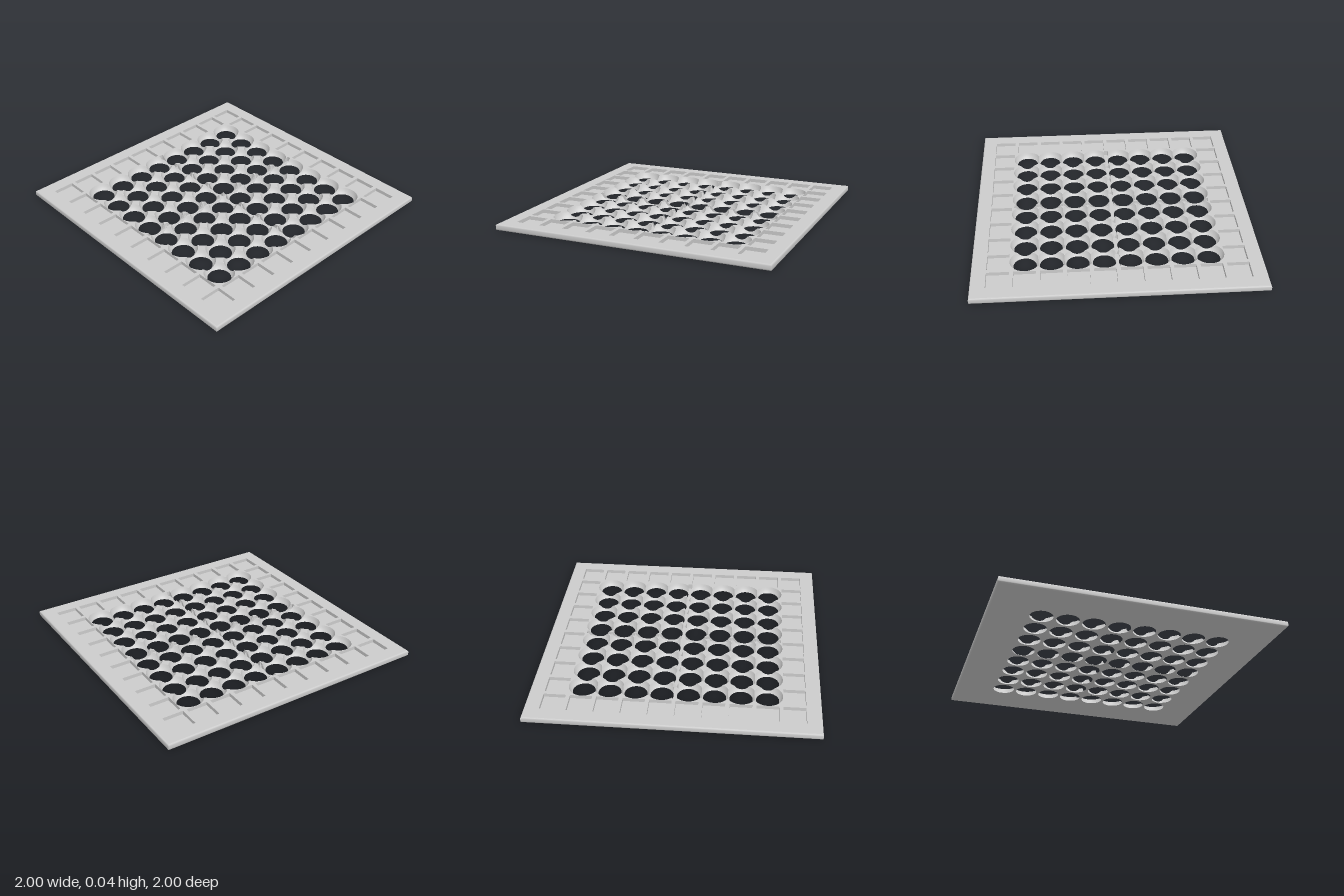
import * as THREE from 'three';
import { toCreasedNormals } from 'three/addons/utils/BufferGeometryUtils.js';

const TOP = 0.043;                 // plate thickness
const ROUND = 0.01;                // radius of the outer edge
const PITCH = 0.182;               // cell spacing
const HOLE = 0.08, RIM = 0.104;    // well radius at the bottom and at the top
const FIELD = 0.742;               // half size of the well field
const POCKET = 0.154, POCKET_FLOOR = 0.017;
const GROOVE = 0.016, GROOVE_END = 0.727, GROOVE_FLOOR = 0.003;

// Sphere that cuts each well
const CY = (RIM * RIM + TOP * TOP - HOLE * HOLE) / (2 * TOP);
const R2 = HOLE * HOLE + CY * CY;
const wellY = r => (r >= RIM ? TOP : CY - Math.sqrt(R2 - r * r));
const FLOOR_R = Math.sqrt(R2 - (CY - GROOVE_FLOOR) ** 2);

const cell = i => (i + 0.5) * PITCH;

// Distance from a well centre to the edge of a rectangle [x0, x1, z0, z1]
function reach(a, [x0, x1, z0, z1]) {
  const c = Math.cos(a), s = Math.sin(a);
  const dx = Math.abs(c) < 1e-9 ? Infinity : (c > 0 ? x1 : x0) / c;
  const dz = Math.abs(s) < 1e-9 ? Infinity : (s > 0 ? z1 : z0) / s;
  return Math.min(dx, dz);
}

// Radial profile of one well: bowl, flat land, groove wall, groove floor
function profile(a, full, clipped) {
  const far = reach(a, full);
  const near = reach(a, clipped);
  const grooved = near < far - 1e-6;
  const edge = grooved ? Math.max(near, FLOOR_R) : far;
  const bowlEnd = Math.min(edge, RIM);
  const pts = [];
  for (let k = 0; k <= 4; k++) {
    const r = HOLE + (bowlEnd - HOLE) * k / 4;
    pts.push([r, wellY(r)]);
  }
  pts.push([edge, wellY(edge)]);
  pts.push([edge, grooved ? GROOVE_FLOOR : wellY(edge)]);
  pts.push([far, grooved ? GROOVE_FLOOR : wellY(far)]);
  return pts;
}

// One quarter of the well field
function wellQuarter() {
  const pos = [];
  const tri = (a, b, c) => {
    if (a.distanceTo(b) < 1e-6 || b.distanceTo(c) < 1e-6 || c.distanceTo(a) < 1e-6) return;
    for (const p of [a, b, c]) pos.push(p.x, p.y, p.z);
  };
  for (let i = 0; i < 4; i++) for (let j = 0; j < 4; j++) {
    const cx = cell(i), cz = cell(j), h = PITCH / 2;
    const full = [-h, i === 3 ? FIELD - cx : h, -h, j === 3 ? FIELD - cz : h];
    const clipped = [i ? -h : GROOVE - cx, full[1], j ? -h : GROOVE - cz, full[3]];
    const angles = [];
    for (let k = 0; k < 64; k++) angles.push(k * Math.PI / 32);
    for (const b of [full, clipped])
      for (const x of [b[0], b[1]]) for (const z of [b[2], b[3]])
        angles.push((Math.atan2(z, x) + 2 * Math.PI) % (2 * Math.PI));
    angles.sort((a, b) => a - b);
    angles.push(2 * Math.PI);
    const list = angles.filter((a, k) => k === 0 || a - angles[k - 1] > 1e-5);
    const rings = list.map(a => profile(a, full, clipped).map(([r, y]) =>
      new THREE.Vector3(cx + r * Math.cos(a), y, cz + r * Math.sin(a))));
    for (let k = 0; k + 1 < rings.length; k++) {
      const A = rings[k], B = rings[k + 1];
      for (let m = 0; m + 1 < A.length; m++) {
        tri(A[m], B[m], B[m + 1]);
        tri(A[m], B[m + 1], A[m + 1]);
      }
    }
  }
  const geo = new THREE.BufferGeometry();
  geo.setAttribute('position', new THREE.Float32BufferAttribute(pos, 3));
  return toCreasedNormals(geo, 0.5);
}

// Open-topped pocket seen from inside
function pocketGeometry() {
  const depth = TOP - POCKET_FLOOR;
  const p = new THREE.BoxGeometry(POCKET, depth, POCKET).toNonIndexed().attributes.position;
  const out = [];
  for (let t = 0; t < p.count; t += 3) {
    if (t >= 12 && t < 18) continue; // lid
    for (const v of [t, t + 2, t + 1]) out.push(p.getX(v), p.getY(v), p.getZ(v));
  }
  const open = new THREE.BufferGeometry();
  open.setAttribute('position', new THREE.Float32BufferAttribute(out, 3));
  open.computeVertexNormals();
  return open.translate(0, TOP - depth / 2, 0);
}

const polygon = (Type, pts) => new Type(pts.map(([x, y]) => new THREE.Vector2(x, y)));
const square = (Type, x, y, h) =>
  polygon(Type, [[x - h, y - h], [x + h, y - h], [x + h, y + h], [x - h, y + h]]);

export function createModel() {
  const group = new THREE.Group();
  const mat = new THREE.MeshStandardMaterial({ color: 0xcccccc });
  const add = (name, geo, parent = group) => {
    const mesh = new THREE.Mesh(geo, mat);
    mesh.name = name;
    parent.add(mesh);
    return mesh;
  };
  const flat = 1 - ROUND; // half size of the flat faces

  // Rounded outer edge
  const edge = [];
  for (const [cy, start] of [[ROUND, -Math.PI / 2], [TOP - ROUND, 0]])
    for (let k = 0; k <= 3; k++) {
      const a = start + k * Math.PI / 6;
      edge.push(new THREE.Vector2((flat + ROUND * Math.cos(a)) * Math.SQRT2, cy + ROUND * Math.sin(a)));
    }
  add('plateEdge', toCreasedNormals(new THREE.LatheGeometry(edge, 4, Math.PI / 4), 0.6));

  // Underside with round holes
  const under = square(THREE.Shape, 0, 0, flat);
  for (let i = -4; i < 4; i++) for (let j = -4; j < 4; j++) {
    const hole = new THREE.Path();
    hole.absarc(cell(i), cell(j), HOLE, 0, Math.PI * 2);
    under.holes.push(hole);
  }
  add('underside', new THREE.ShapeGeometry(under, 32).rotateX(Math.PI / 2));

  // One side of the top border, with a tab that closes the end of the groove
  const side = polygon(THREE.Shape, [[FIELD, -flat], [flat, -flat], [flat, FIELD], [FIELD, FIELD],
    [FIELD, GROOVE], [GROOVE_END, GROOVE], [GROOVE_END, -GROOVE], [FIELD, -GROOVE]]);
  for (let j = -5; j < 4; j++)
    side.holes.push(square(THREE.Path, cell(4), cell(j), POCKET / 2));
  const sideGeo = new THREE.ShapeGeometry(side).rotateX(-Math.PI / 2).translate(0, TOP, 0);

  const pocketGeo = pocketGeometry();
  const wells = wellQuarter();
  const endWall = new THREE.PlaneGeometry(GROOVE * 2, TOP - GROOVE_FLOOR)
    .translate(0, (TOP + GROOVE_FLOOR) / 2, -GROOVE_END);

  // Border side, its pockets, wells and groove end, repeated by quarter turns
  for (let q = 0; q < 4; q++) {
    const quarter = new THREE.Group();
    quarter.name = 'plateQuarter';
    quarter.rotation.y = q * Math.PI / 2;
    group.add(quarter);
    add('topBorder', sideGeo, quarter);
    add('wells', wells, quarter);
    add('grooveEnd', endWall, quarter);
    for (let j = -5; j < 4; j++)
      add('pocket', pocketGeo, quarter).position.set(cell(4), 0, -cell(j));
  }
  return group;
}
